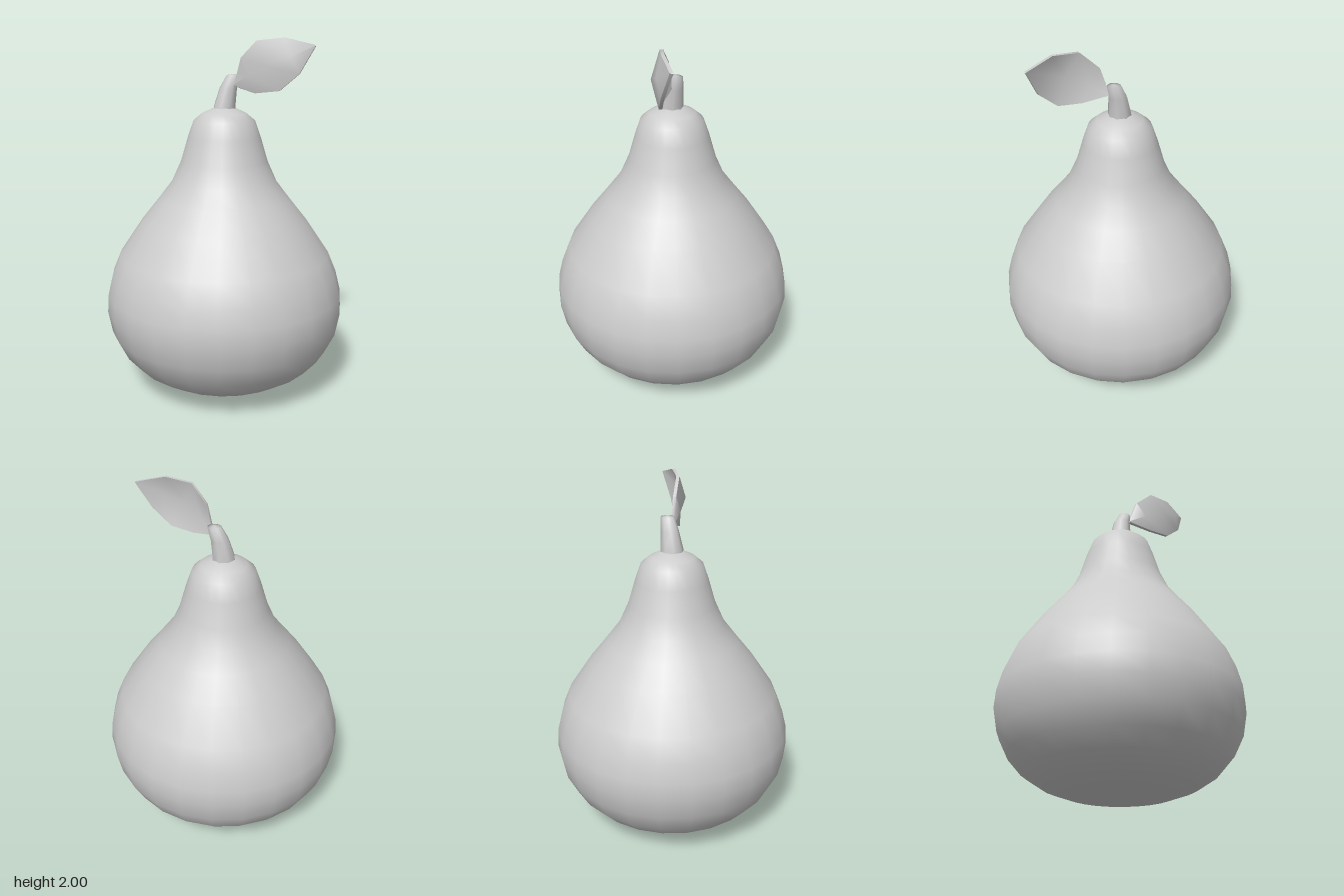
import * as THREE from 'three';
import { mergeVertices, toCreasedNormals } from 'three/addons/utils/BufferGeometryUtils.js';

// Skins a row of closed cross-sections, each an equal list of [x, y, z]
function skin(sections) {
  const n = sections[0].length;
  const index = [];
  for (let i = 0; i < sections.length - 1; i++) {
    for (let j = 0; j < n; j++) {
      const a = i * n + j, b = i * n + (j + 1) % n;
      index.push(a, b, b + n, a, b + n, a + n);
    }
  }
  const g = new THREE.BufferGeometry();
  g.setAttribute('position', new THREE.Float32BufferAttribute(sections.flat(2), 3));
  g.setIndex(index);
  return g;
}

export function createModel() {
  const grey = new THREE.MeshStandardMaterial({ color: 0xcccccc });
  grey.name = 'plainGrey';
  const group = new THREE.Group();
  group.name = 'pear';
  const add = (name, geometry) => {
    const mesh = new THREE.Mesh(geometry, grey);
    mesh.name = name;
    group.add(mesh);
  };

  // Fruit body: turned profile with a narrow neck
  const profile = [
    [0, 0], [0.15, 0.01], [0.29, 0.035], [0.42, 0.08], [0.53, 0.15], [0.605, 0.235],
    [0.66, 0.345], [0.684, 0.47], [0.678, 0.57], [0.65, 0.68], [0.602, 0.795],
    [0.47, 0.99], [0.37, 1.115], [0.297, 1.21], [0.245, 1.325], [0.205, 1.46],
    [0.172, 1.553], [0.125, 1.592], [0.06, 1.622], [0, 1.63],
  ].map(([r, y]) => new THREE.Vector2(r, y));
  add('body', new THREE.LatheGeometry(profile, 24));

  // Stem: eight-sided rings leaning to the left, closed on top
  const rings = [
    [0, 1.6, 0, 0.065], [0.003, 1.635, 0, 0.062], [0.02, 1.73, -0.01, 0.05],
    [0.047, 1.8, -0.017, 0.038], [0.05, 1.807, -0.017, 0],
  ];
  const stem = skin(rings.map(([x, y, z, r]) => Array.from({ length: 8 }, (_, k) => {
    const t = k * Math.PI / 4;
    return [x + r * Math.cos(t), y, z + r * Math.sin(t)];
  })).map((ring) => ring.reverse()));
  const stemSmooth = mergeVertices(stem);
  stemSmooth.computeVertexNormals();
  add('stem', stemSmooth);

  // Leaf: cupped blade given by upper edge, midrib and lower edge at each station
  const stations = [
    [[0.062, 1.752, 0.02], [0.062, 1.747, 0.022], [0.065, 1.742, 0.02]],
    [[0.105, 1.895, 0.04], [0.15, 1.8, 0.072], [0.195, 1.71, 0.075]],
    [[0.2, 1.985, 0.073], [0.265, 1.855, 0.12], [0.33, 1.725, 0.085]],
    [[0.35, 2, 0.073], [0.395, 1.905, 0.1], [0.435, 1.815, 0.08]],
    [[0.51, 1.962, 0.042], [0.51, 1.96, 0.042], [0.51, 1.958, 0.042]],
  ];
  const thickness = 0.018;
  const blade = skin(stations.map((front) => {
    const back = front.map(([x, y, z]) => [x, y, z - thickness]).reverse();
    return [...front, ...back];
  }));
  add('leaf', toCreasedNormals(blade, Math.PI / 3));

  return group;
}
